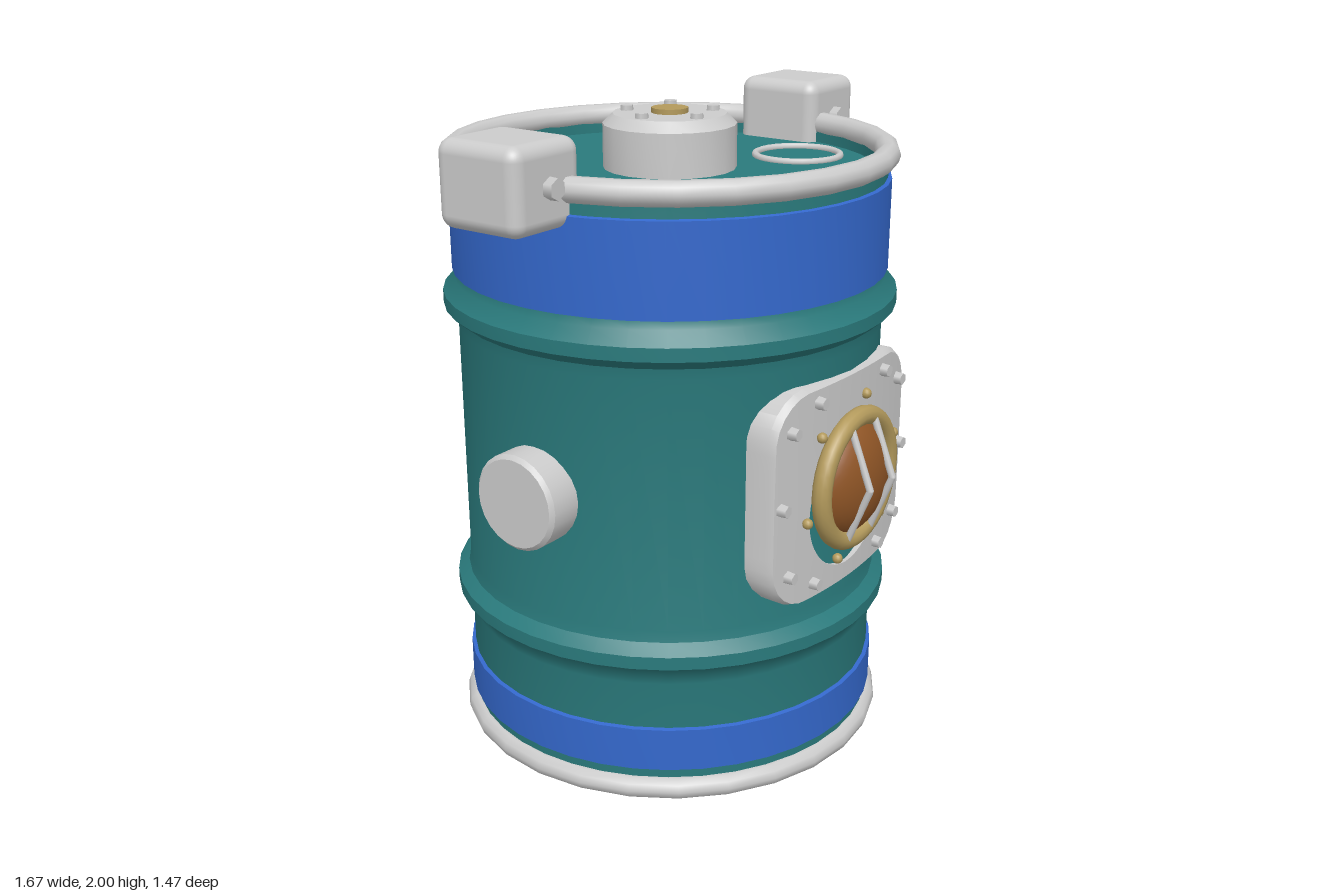
import * as THREE from 'three';
import { toCreasedNormals } from 'three/addons/utils/BufferGeometryUtils.js';
import { RoundedBoxGeometry } from 'three/addons/geometries/RoundedBoxGeometry.js';

const mat = (color) => new THREE.MeshStandardMaterial({ color });
const V2 = (p) => p.map(([x, y]) => new THREE.Vector2(x, y));

export function createModel() {
  const root = new THREE.Group();
  root.name = 'drum';
  const grey = mat(0xcccccc), teal = mat(0x2a7a7c), blue = mat(0x3468cc);
  const brass = mat(0xb39a5c), amber = mat(0x8f5526);
  const axisZ = -0.04; // the drum's axis sits slightly behind the origin

  function add(name, geometry, material, x = 0, y = 0, z = 0) {
    const mesh = new THREE.Mesh(geometry, material);
    mesh.name = name;
    mesh.position.set(x, y, z);
    root.add(mesh);
    return mesh;
  }
  const lathe = (points, segments) => toCreasedNormals(new THREE.LatheGeometry(V2(points), segments), 0.6);
  // a chamfered disc standing on y = 0
  const disc = (r, h, c, segments) =>
    lathe([[0, 0], [r, 0], [r, h - c], [r - c, h], [0, h]], segments);

  // Body with recessed ends and two rolling hoops
  const hoop = (y, s) => [[0.648, y - 0.09 * s], [0.655, y - 0.055 * s], [0.69, y - 0.025 * s],
    [0.69, y + 0.015 * s], [0.655, y + 0.055 * s], [0.648, y + 0.085 * s]];
  add('body', lathe([
    [0, 0.1], [0.62, 0.1], [0.62, 0.06], [0.648, 0.06],
    ...hoop(0.505, -1).reverse(), ...hoop(1.445, 1),
    [0.648, 1.86], [0.62, 1.86], [0.62, 1.81], [0, 1.81],
  ], 40), teal, 0, 0, axisZ);

  // Painted bands
  for (const [name, y0, y1] of [['lowerBand', 0.13, 0.275], ['upperBand', 1.52, 1.8]]) {
    add(name, lathe([[0.64, y0], [0.66, y0 + 0.005], [0.66, y1 - 0.005], [0.64, y1]], 40), blue, 0, 0, axisZ);
  }

  // Rolled rims
  for (const [name, y] of [['bottomRim', 0.068], ['topRim', 1.865]]) {
    const g = new THREE.TorusGeometry(0.647, 0.036, 10, 28).rotateX(Math.PI / 2);
    add(name, g, grey, 0, y, axisZ);
  }

  // Lid: hub with bolts, brass button and two flat rings
  add('lidHub', disc(0.2, 0.165, 0.03, 20), grey, 0, 1.805, axisZ);
  add('lidButton', new THREE.CylinderGeometry(0.055, 0.055, 0.03, 20), brass, 0, 1.97, axisZ);
  for (let i = 0; i < 5; i++) {
    const a = Math.PI + (i * Math.PI * 2) / 5;
    add('lidBolt', new THREE.CylinderGeometry(0.02, 0.022, 0.03, 6), grey,
      Math.cos(a) * 0.135, 1.97, axisZ + Math.sin(a) * 0.135);
  }
  for (const [x, z, r] of [[-0.37, -0.245, 0.091], [0.365, 0.18, 0.131]]) {
    add('lidRing', new THREE.TorusGeometry(r, 0.011, 8, 28).rotateX(Math.PI / 2), grey, x, 1.815, z);
  }

  // Mirrored parts: lifting blocks, side caps and feet
  for (const s of [-1, 1]) {
    add('liftingBlock', new RoundedBoxGeometry(0.265, 0.24, 0.285, 4, 0.04), grey, s * 0.705, 1.88, axisZ);
    add('blockBolt', new THREE.CylinderGeometry(0.03, 0.032, 0.05, 6).rotateX(Math.PI / 2), grey,
      s * 0.705, 1.88, 0.105);
    add('sideCap', disc(0.145, 0.15, 0.012, 24).rotateZ(-s * Math.PI / 2), grey, s * 0.59, 0.97, axisZ);
    add('foot', disc(0.18, 0.11, 0.025, 20).rotateX(Math.PI), grey, s * 0.37, 0.11, axisZ);
  }

  // Small box on the back
  add('backBox', new RoundedBoxGeometry(0.18, 0.18, 0.1, 3, 0.02), grey, 0, 1.71, -0.685);

  // Porthole plate: loops from the back edge, over the bowed front, into the hole
  const plateZ = (x) => 0.62 - 0.27 * x * x;
  const outline = new THREE.Shape();
  const w = 0.365, h = 0.33, r = 0.14, cy = 0.97;
  outline.absarc(w - r, cy + h - r, r, 0, Math.PI / 2);
  outline.absarc(r - w, cy + h - r, r, Math.PI / 2, Math.PI);
  outline.absarc(r - w, cy - h + r, r, Math.PI, Math.PI * 1.5);
  outline.absarc(w - r, cy - h + r, r, Math.PI * 1.5, Math.PI * 2);
  outline.closePath();
  const N = 64, rim = outline.getSpacedPoints(N).slice(0, N);
  const holeY = 0.9, holeR = 0.205;
  // each loop: blend toward the hole, depth behind the front, or fixed z
  const loops = [[0, null, 0.47], [0, 0.018], [0.05, 0], [0.3, 0], [0.6, 0], [1, 0], [1, null, 0.54]];
  const pos = [], index = [];
  loops.forEach(([t, depth, z], i) => rim.forEach((p, j) => {
    const a = Math.atan2(p.y - holeY, p.x);
    const x = THREE.MathUtils.lerp(p.x, Math.cos(a) * holeR, t);
    const y = THREE.MathUtils.lerp(p.y, holeY + Math.sin(a) * holeR, t);
    pos.push(x, y, depth === null ? z : plateZ(x) - depth);
    if (i === loops.length - 1) return;
    const k = (j + 1) % N, A = i * N + j, B = i * N + k;
    index.push(A, B, B + N, A, B + N, A + N);
  }));
  const plate = new THREE.BufferGeometry();
  plate.setAttribute('position', new THREE.Float32BufferAttribute(pos, 3));
  plate.setIndex(index);
  add('portholePlate', toCreasedNormals(plate, 0.6), grey);

  // Plate bolts, mirrored left to right
  for (const s of [-1, 1]) {
    for (const [x, y] of [[0.18, 1.25], [0.295, 1.19], [0.33, 0.97], [0.295, 0.75], [0.18, 0.69]]) {
      add('plateBolt', new THREE.CylinderGeometry(0.018, 0.022, 0.04, 6).rotateX(Math.PI / 2), grey,
        s * x, y, plateZ(x) + 0.005);
    }
  }

  // Brass ring and studs
  add('portholeRing', new THREE.TorusGeometry(0.19, 0.029, 12, 36), brass, 0, cy, 0.638);
  for (let i = 0; i < 6; i++) {
    const a = THREE.MathUtils.degToRad(75 + i * 60);
    add('brassStud', new THREE.SphereGeometry(0.016, 10, 8), brass,
      Math.cos(a) * 0.25, cy + Math.sin(a) * 0.25, 0.625);
  }

  // Domed window and two bent guard bars
  const dome = new THREE.SphereGeometry(0.18, 28, 10, 0, Math.PI * 2, 0, Math.PI / 2).rotateX(Math.PI / 2);
  add('portholeWindow', dome.scale(1, 1, 0.58), amber, 0, cy, 0.605);
  for (const s of [-1, 1]) {
    for (const v of [-1, 1]) {
      const path = new THREE.LineCurve3(new THREE.Vector3(s * 0.065, cy, 0.724),
        new THREE.Vector3(s * 0.065, cy + v * 0.175, 0.655));
      add('guardBar', new THREE.TubeGeometry(path, 1, 0.011, 8), grey);
    }
    add('guardBarJoint', new THREE.SphereGeometry(0.011, 8, 6), grey, s * 0.065, cy, 0.724);
  }
  return root;
}
